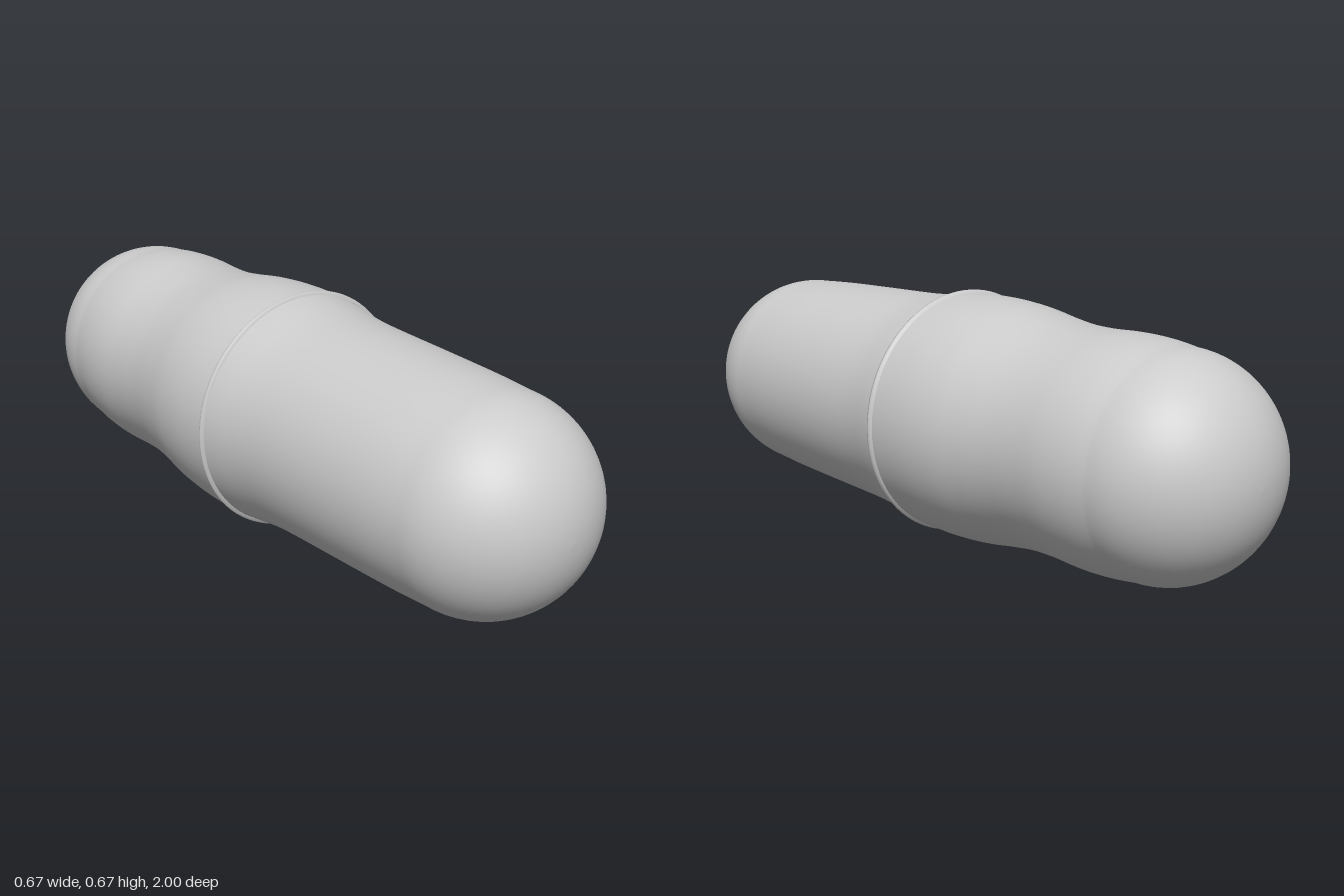
import * as THREE from 'three';

const AXIS_HEIGHT = 0.335;
const SEGMENTS = 96;

// Rounded end: quarter ellipse from the tip (|z| = 1) to the given shoulder
function endCap(shoulderZ, radius, sign, steps = 20) {
  const pts = [];
  for (let i = 0; i < steps; i++) {
    const a = (i / steps) * Math.PI / 2;
    pts.push(new THREE.Vector2(radius * Math.sin(a), sign * (shoulderZ + (1 - shoulderZ) * Math.cos(a))));
  }
  return pts;
}

// Smooth wall through [radius, z] stations
function wall(stations, steps = 50) {
  return new THREE.SplineCurve(stations.map(([r, z]) => new THREE.Vector2(r, z))).getPoints(steps);
}

// Revolve a profile (ordered from back to front) around the z axis
function revolve(name, points, material) {
  const geometry = new THREE.LatheGeometry(points, SEGMENTS).rotateX(Math.PI / 2);
  const mesh = new THREE.Mesh(geometry, material);
  mesh.name = name;
  mesh.position.y = AXIS_HEIGHT;
  return mesh;
}

export function createModel() {
  const model = new THREE.Group();
  model.name = 'capsule';
  const material = new THREE.MeshStandardMaterial({ color: 0xcccccc, side: THREE.DoubleSide });

  // Front half: nearly straight body flaring into the seam
  const front = [
    ...endCap(0.72, 0.284, 1),
    ...wall([[0.284, 0.72], [0.291, 0.6], [0.297, 0.42], [0.303, 0.22], [0.309, 0.13], [0.32, 0.05], [0.325, 0.015]]),
  ].reverse();
  model.add(revolve('frontShell', front, material));

  // Back half: bulge behind the seam, shallow waist, then a second bulge
  const back = [
    ...endCap(0.73, 0.287, -1),
    ...wall([[0.287, -0.73], [0.296, -0.66], [0.299, -0.58], [0.295, -0.48], [0.297, -0.39],
      [0.308, -0.3], [0.322, -0.21], [0.329, -0.11], [0.328, 0.005]]),
  ];
  model.add(revolve('backShell', back, material));

  // Thin raised lip where the halves meet
  const lip = [[0.327, 0], [0.332, 0.004], [0.335, 0.009], [0.334, 0.014], [0.325, 0.017]]
    .map(([r, z]) => new THREE.Vector2(r, z));
  model.add(revolve('seamLip', lip, material));

  return model;
}
